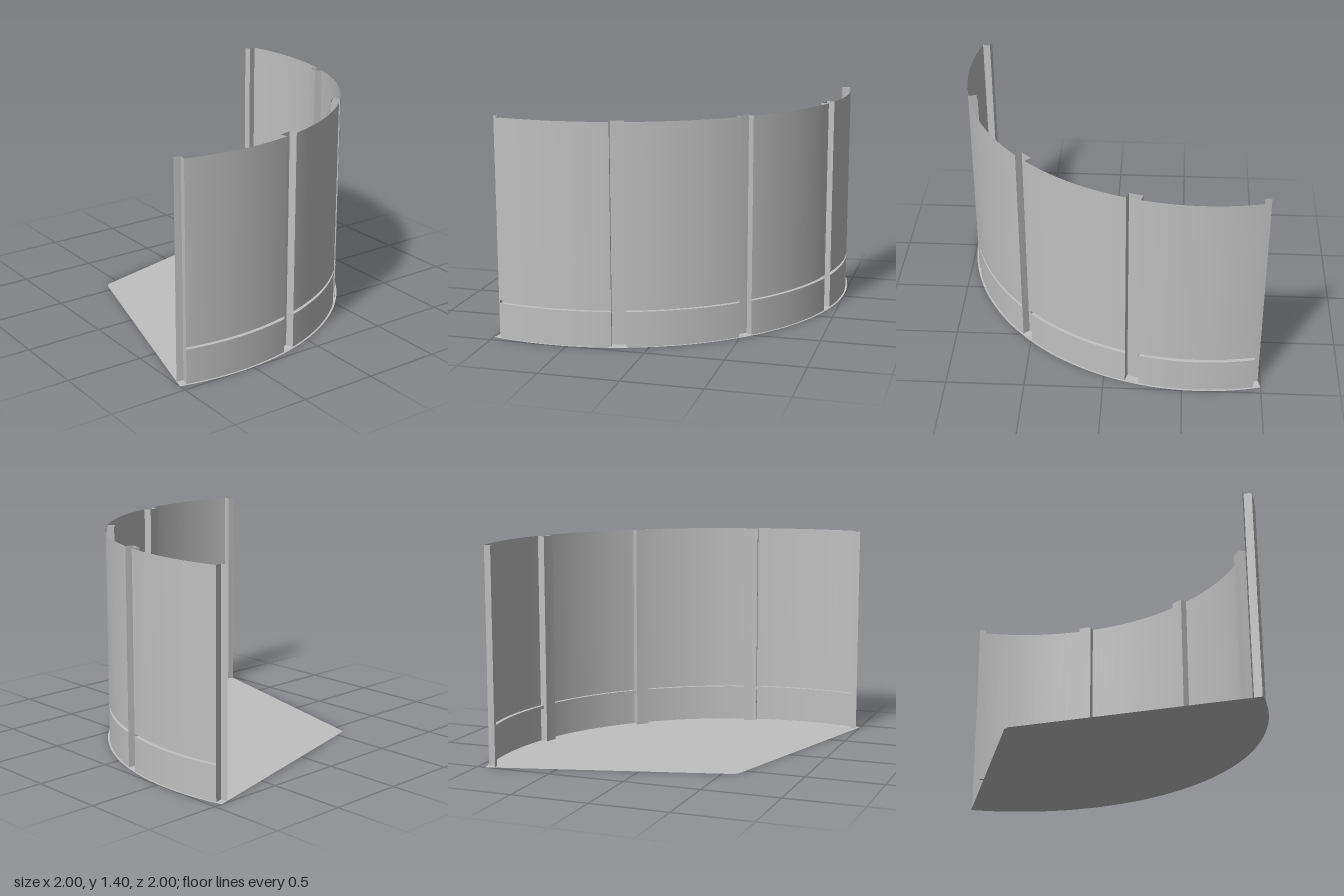
import * as THREE from 'three';

const RAD = Math.PI / 180;
const CENTRE = -0.589;      // apex of the sector in x and z
const HEIGHT = 1.4;
const R_FLOOR = 1.589, R_PANEL = 1.576, R_GROOVE = 1.549, R_POST = 1.525;
const GROOVE_LOW = 0.225, GROOVE_HIGH = 0.246;
const HALF_POST = 1.65;     // degrees

export function createModel() {
  const model = new THREE.Group();
  const grey = new THREE.MeshStandardMaterial({ color: 0xc0c0c0, side: THREE.DoubleSide });
  grey.name = 'light grey';

  const sector = new THREE.Group();
  sector.name = 'curvedScreen';
  sector.position.set(CENTRE, 0, CENTRE);
  model.add(sector);

  const add = (name, geometry, y = 0) => {
    const mesh = new THREE.Mesh(geometry, grey);
    mesh.name = name;
    mesh.position.y = y;
    sector.add(mesh);
    return mesh;
  };

  // Upright curved sheet; angles run in degrees from +x towards +z
  const sheet = (name, r, a0, a1, y0, y1, segments = 16) =>
    add(name, new THREE.CylinderGeometry(r, r, y1 - y0, segments, 1, true,
      (90 - a1) * RAD, (a1 - a0) * RAD), (y0 + y1) / 2);

  // Level ring segment, facing up
  const ledge = (name, r0, r1, a0, a1, y, segments = 16) => {
    const g = new THREE.RingGeometry(r0, r1, segments, 1, -a1 * RAD, (a1 - a0) * RAD);
    g.rotateX(-Math.PI / 2);
    return add(name, g, y);
  };

  // Upright flat strip running along a radius
  const fin = (name, a, r0, r1, y0, y1) => {
    const g = new THREE.PlaneGeometry(r1 - r0, y1 - y0);
    g.translate((r0 + r1) / 2, 0, 0);
    g.rotateY(-a * RAD);
    return add(name, g, (y0 + y1) / 2);
  };

  // Floor: quarter-like sector with a tiny blunt apex
  ledge('floor', 0.012, R_FLOOR, -15, 105, 0, 64);

  // Four panels, each with a horizontal groove and side returns
  for (let i = 0; i < 4; i++) {
    const a0 = -15 + i * 30 + HALF_POST, a1 = 15 + i * 30 - HALF_POST;
    sheet('lowerPanel', R_PANEL, a0, a1, 0, GROOVE_LOW);
    sheet('upperPanel', R_PANEL, a0, a1, GROOVE_HIGH, HEIGHT);
    sheet('grooveBack', R_GROOVE, a0, a1, GROOVE_LOW, GROOVE_HIGH);
    ledge('grooveBottom', R_GROOVE, R_PANEL, a0, a1, GROOVE_LOW);
    ledge('grooveTop', R_GROOVE, R_PANEL, a0, a1, GROOVE_HIGH);
    for (const a of [a0, a1]) fin('panelReturn', a, R_POST, R_PANEL, 0, HEIGHT);
  }

  // Recessed posts between the panels, half-width at both ends
  for (let i = 0; i <= 4; i++) {
    const a = -15 + i * 30;
    sheet('recessedPost', R_POST, Math.max(-15, a - HALF_POST),
      Math.min(105, a + HALF_POST), 0, HEIGHT, 1);
  }

  return model;
}
